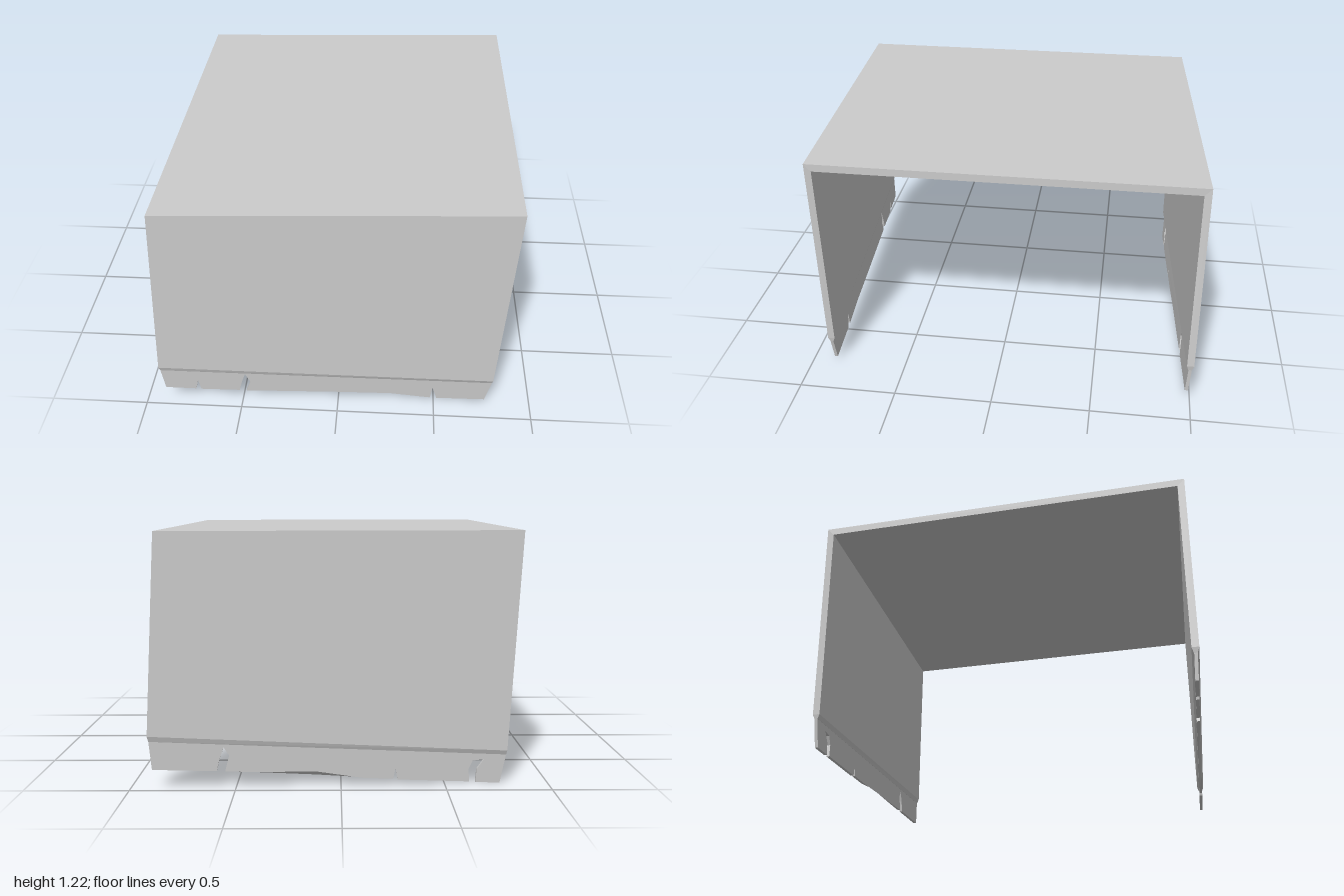
import * as THREE from 'three';

const material = new THREE.MeshStandardMaterial({ color: 0xcccccc, flatShading: true, side: THREE.DoubleSide });

// Slanted plane of a hanging side, d units inside its outer face
const sideZ = (x, d) => 0.947 - 0.057 * x - d;
const turn = ([x, y, z]) => [-x, y, -z];

// Four-cornered ring of the shell: outer left, outer right, inner right, inner left
function ring(xl, yl, xr, yr, dOut, dIn, drop = 0) {
  return [
    [xl, yl, sideZ(xl, dOut)],
    [xr, yr, sideZ(xr, dOut)],
    [xr, yr - drop, sideZ(xr, dIn)],
    [xl, yl - drop, sideZ(xl, dIn)],
  ];
}

// One folded slab: up the front, across the top, down the back
function shellGeometry() {
  const front = [
    ring(-0.905, 0.238, 0.796, 0.146, 0.009, 0.026),
    ring(-0.91, 0.265, 0.8, 0.168, 0, 0.035),
    ring(-0.856, 1.222, 0.856, 1.222, 0, 0.035, 0.037),
  ];
  const back = front.map((r) => [r[1], r[0], r[3], r[2]].map(turn)).reverse();
  const rings = [...front, ...back];
  const pos = [];
  const quad = (a, b, c, d) => pos.push(...a, ...b, ...c, ...a, ...c, ...d);
  for (let i = 0; i < rings.length - 1; i++) {
    for (let k = 0; k < 4; k++) {
      const n = (k + 1) % 4;
      quad(rings[i][k], rings[i][n], rings[i + 1][n], rings[i + 1][k]);
    }
  }
  quad(...[...rings[0]].reverse());
  quad(...rings[rings.length - 1]);
  const geo = new THREE.BufferGeometry();
  geo.setAttribute('position', new THREE.Float32BufferAttribute(pos, 3));
  geo.computeVertexNormals();
  return geo;
}

// Thin torn hem; the inner bottom edge sags between lipStart and lipEnd
function hemGeometry(tornEdge, lipStart, lipPeak, lipEnd) {
  const outline = [...tornEdge, [0.796, 0.147], [-0.905, 0.239]];
  const shape = new THREE.Shape(outline.map(([x, y]) => new THREE.Vector2(x, y)));
  const t = 0.016;
  const geo = new THREE.ExtrudeGeometry(shape, { depth: t, bevelEnabled: false });
  const p = geo.attributes.position;
  for (let i = 0; i < p.count; i++) {
    const x = p.getX(i), y = p.getY(i), z = p.getZ(i);
    const below = 0.19 - 0.054 * x - y;
    p.setZ(i, sideZ(x, 0.009 + t - z) - 0.04 * below);
    if (z < t / 2 && below > 0.08 && x > lipStart && x < lipEnd) {
      const f = x < lipPeak ? (x - lipStart) / (lipPeak - lipStart) : (lipEnd - x) / (lipEnd - lipPeak);
      p.setY(i, y - 0.02 * f);
    }
  }
  geo.computeVertexNormals();
  return geo;
}

export function createModel() {
  const model = new THREE.Group();
  model.name = 'drapedCover';
  const add = (name, geo) => {
    const mesh = new THREE.Mesh(geo, material);
    mesh.name = name;
    model.add(mesh);
    return mesh;
  };

  add('foldedShell', shellGeometry());

  // Torn lower edges, listed from one end to the other with their notches
  add('frontHem', hemGeometry([
    [-0.89, 0.11], [-0.735, 0.1], [-0.72, 0.163], [-0.708, 0.097],
    [-0.51, 0.089], [-0.495, 0.15], [-0.475, 0.21], [-0.45, 0.15], [-0.475, 0.086],
    [0, 0.076], [0.27, 0.067], [0.48, 0.034], [0.492, 0.108], [0.515, 0.031], [0.765, 0.02],
  ], -0.47, 0.2, 0.48));

  const backHem = add('backHem', hemGeometry([
    [-0.893, 0.1], [-0.59, 0.088], [-0.575, 0.15], [-0.555, 0.205], [-0.53, 0.165], [-0.55, 0.086],
    [-0.4, 0.08], [-0.12, 0.078], [0.1, 0.042],
    [0.25, 0.034], [0.262, 0.085], [0.272, 0.03], [0.62, 0.013],
    [0.615, 0.075], [0.635, 0.118], [0.69, 0.125], [0.655, 0.075], [0.65, 0.01], [0.768, 0.004],
  ], -0.5, -0.12, 0.12));
  backHem.rotation.y = Math.PI;

  return model;
}
